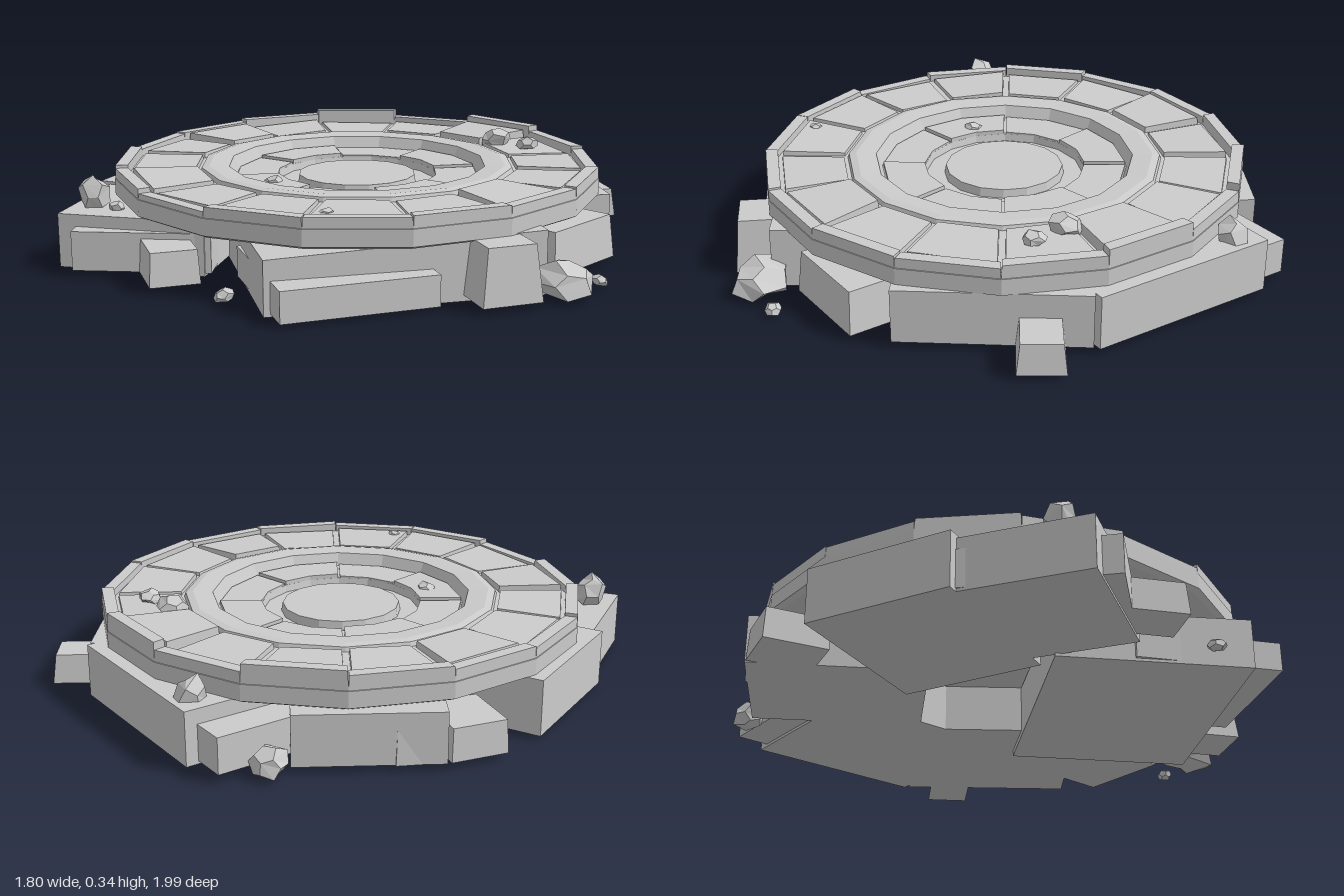
import * as THREE from 'three';

const stone = new THREE.MeshStandardMaterial({ color: 0xcccccc, flatShading: true });
const SIDES = 16;

// Upright prism over corners [x, z]; the top may shrink and slope
function prism(corners, y0, y1, { taper = 1, slopeX = 0, slopeZ = 0 } = {}) {
  const shape = new THREE.Shape(corners.map(([x, z]) => new THREE.Vector2(x, -z)));
  const geo = new THREE.ExtrudeGeometry(shape, { depth: y1 - y0, bevelEnabled: false });
  geo.rotateX(-Math.PI / 2);
  const cx = corners.reduce((s, c) => s + c[0], 0) / corners.length;
  const cz = corners.reduce((s, c) => s + c[1], 0) / corners.length;
  const p = geo.attributes.position;
  for (let i = 0; i < p.count; i++) {
    if (p.getY(i) < (y1 - y0) / 2) { p.setY(i, y0); continue; }
    const dx = p.getX(i) - cx, dz = p.getZ(i) - cz;
    p.setXYZ(i, cx + dx * taper, y1 + dx * slopeX + dz * slopeZ, cz + dz * taper);
  }
  geo.computeVertexNormals();
  return geo;
}

// Rectangle whose outer edge runs p to q and which reaches inwards by depth
function slabCorners([px, pz], [qx, qz], depth) {
  const len = Math.hypot(qx - px, qz - pz);
  let nx = -(qz - pz) / len, nz = (qx - px) / len;
  if (nx * (px + qx) + nz * (pz + qz) > 0) { nx = -nx; nz = -nz; }
  nx *= depth; nz *= depth;
  return [[px, pz], [qx, qz], [qx + nx, qz + nz], [px + nx, pz + nz]];
}

// Corners of one ring sector; angles are counted in polygon sides from +z
function sector(r0, r1, a0, a1, gap = 0) {
  const at = (r, a) => {
    const t = (a * Math.PI * 2) / SIDES;
    return [r * Math.sin(t), r * Math.cos(t)];
  };
  const inner = [], outer = [];
  const steps = Math.max(1, Math.round(a1 - a0));
  for (let i = 0; i <= steps; i++) {
    const t = i / steps;
    const a = a0 + (a1 - a0) * t, side = gap * (1 - 2 * t);
    outer.push(at(r1, a + side / r1));
    inner.unshift(at(r0, a + side / r0));
  }
  return [...outer, ...inner];
}

// Rough boulder: low-poly ball with seeded dents and a flattened underside
function rock(radius, height, seed) {
  const geo = new THREE.DodecahedronGeometry(1, 0);
  const p = geo.attributes.position;
  for (let i = 0; i < p.count; i++) {
    const x = p.getX(i), y = p.getY(i), z = p.getZ(i);
    const k = 1 + 0.14 * Math.sin(seed * 7 + x * 5 + y * 3 + z * 9);
    p.setXYZ(i, x * k * radius, (Math.max(y * k, -0.7) + 0.7) * height / 1.7, z * k * radius);
  }
  geo.computeVertexNormals();
  return geo.rotateY(seed);
}

export function createModel() {
  const model = new THREE.Group();
  const add = (name, geo, parent = model) => {
    const mesh = new THREE.Mesh(geo, stone);
    mesh.name = name;
    parent.add(mesh);
    return mesh;
  };
  const group = (name) => {
    const g = new THREE.Group();
    g.name = name;
    model.add(g);
    return g;
  };

  // Stepped round platform with a sunken middle and centre disc
  const profile = [
    [0, 0.19], [0.82, 0.19], [0.84, 0.2], [0.84, 0.255], [0.82, 0.265], [0.55, 0.265],
    [0.545, 0.28], [0.52, 0.285], [0.45, 0.28], [0.43, 0.235], [0.28, 0.235],
    [0.275, 0.21], [0.21, 0.21], [0.205, 0.24], [0, 0.24],
  ].map(([r, y]) => new THREE.Vector2(r, y));
  add('platform', new THREE.LatheGeometry(profile, SIDES));

  // Rim blocks and outer paving, unevenly settled
  const rim = group('rim'), paving = group('outerPaving');
  const rimTop = [.29, .295, .29, .295, .29, .3, .32, .295, .32, .305, .295, .29, .3, .29, .275, .29];
  const tileTop = [.28, .275, .285, .28, .28, .28, .3, .28, .275, .28, .29, .28, .28, .285, .275, .28];
  for (let k = 0; k < SIDES; k++) {
    add('rimBlock', prism(sector(0.795, 0.838, k, k + 1), 0.25, rimTop[k], { taper: 0.99 }), rim);
    add('pavingTile', prism(sector(0.56, 0.78, k, k + 1, 0.025), 0.255, tileTop[k], {
      taper: 0.98, slopeX: 0.03 * Math.sin(k * 2.3), slopeZ: 0.03 * Math.cos(k * 1.7),
    }), paving);
  }

  // Inner ring stones
  const ring = group('innerRing');
  for (let k = 0; k < 8; k++) {
    add('ringStone', prism(sector(0.28, 0.425, 2 * k - 1, 2 * k + 1, 0.01), 0.22, k % 2 ? 0.25 : 0.242), ring);
  }

  // Big foundation slabs: outer edge start, end, depth, bottom, top
  const foundation = group('foundation');
  [
    [[-0.03, 0.99], [0.4, 0.74], 0.5, 0.01, 0.11],
    [[-0.1, 0.91], [0.7, 0.53], 0.66, 0, 0.185, 0.04],
    [[0.88, 0], [0.67, -0.58], 0.62, 0.02, 0.2],
    [[0.67, -0.6], [0.12, -0.97], 0.6, 0.02, 0.2],
    [[0.45, -0.7], [0, -1], 0.55, 0.03, 0.15],
    [[-0.17, -0.86], [-0.6, -0.67], 0.6, 0.02, 0.19],
    [[-0.81, -0.36], [-0.9, 0.14], 0.6, 0.01, 0.2],
    [[-0.86, 0], [-0.88, 0.57], 0.5, 0.01, 0.19],
    [[-0.81, 0.635], [-0.36, 0.58], 0.55, 0.02, 0.15],
  ].forEach(([p, q, depth, y0, y1, slopeX = 0]) =>
    add('foundationSlab', prism(slabCorners(p, q, depth), y0, y1, { slopeX }), foundation));

  // Smaller fallen blocks: same layout, with a taper
  const blocks = group('looseBlocks');
  [
    [[0.9, 0.13], [0.72, 0.42], 0.3, 0.02, 0.165, 0.92],
    [[0.53, 0.77], [0.7, 0.67], 0.16, 0.02, 0.2, 0.8],
    [[0.84, -0.56], [0.9, -0.42], 0.17, 0.02, 0.12, 0.85],
    [[-0.61, -0.66], [-0.75, -0.53], 0.22, 0.02, 0.13, 0.95],
    [[-0.46, -0.74], [-0.55, -0.69], 0.16, 0.02, 0.15, 0.9],
    [[-0.5, 0.77], [-0.36, 0.69], 0.2, 0.02, 0.13, 0.92],
  ].forEach(([p, q, depth, y0, y1, taper]) =>
    add('looseBlock', prism(slabCorners(p, q, depth), y0, y1, { taper }), blocks));

  // Scattered boulders and pebbles: x, base y, z, radius, height
  const rocks = group('boulders');
  [
    [0.75, 0.01, 0.54, 0.1, 0.11], [0.86, 0.01, 0.43, 0.027, 0.035],
    [-0.12, 0.01, -0.9, 0.06, 0.09], [0.15, 0.14, -0.86, 0.052, 0.13],
    [-0.8, 0.18, 0.45, 0.052, 0.115], [-0.71, 0.18, 0.48, 0.027, 0.04],
    [0.45, 0.27, -0.4, 0.055, 0.07], [0.57, 0.28, -0.34, 0.04, 0.045],
    [-0.24, 0.23, 0.23, 0.035, 0.04], [0.05, 0.27, 0.73, 0.025, 0.025],
    [-0.25, 0.01, 0.81, 0.033, 0.04],
  ].forEach(([x, y, z, r, h], i) =>
    add('boulder', rock(r, h, i + 1), rocks).position.set(x, y, z));

  return model;
}
